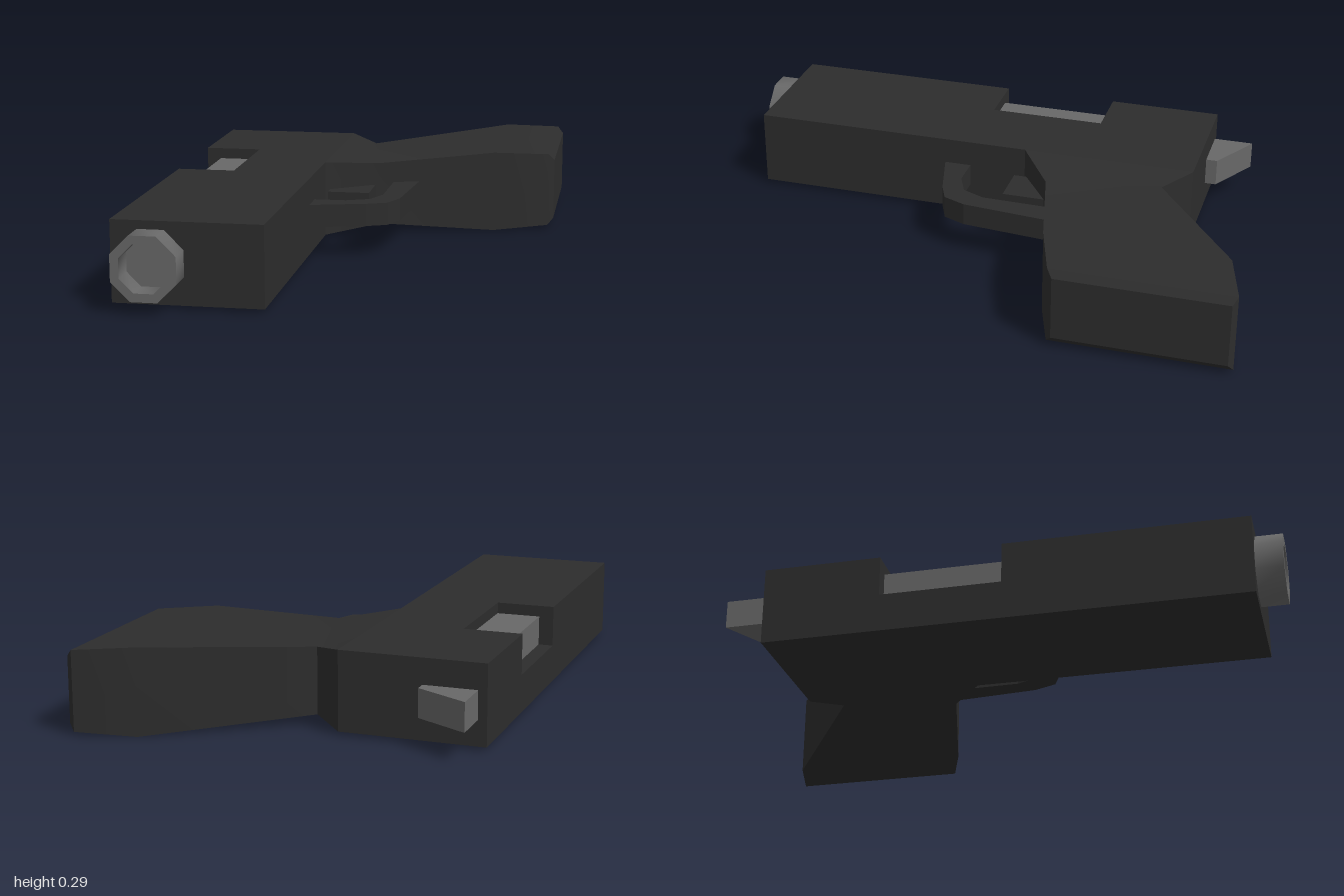
import * as THREE from 'three';
import { toCreasedNormals } from 'three/addons/utils/BufferGeometryUtils.js';

const MID = 0.149; // height of the centre plane

export function createModel() {
  const model = new THREE.Group();
  const black = new THREE.MeshStandardMaterial({ color: 0x2d2d2d });
  black.name = 'black';
  const grey = new THREE.MeshStandardMaterial({ color: 0x686868 });
  grey.name = 'steel grey';

  const add = (name, geometry, material) => {
    const mesh = new THREE.Mesh(geometry, material);
    mesh.name = name;
    model.add(mesh);
    return mesh;
  };

  // Prism from a plan outline of [x, z] points, between two heights
  const slab = (name, outline, y0, y1, material) => {
    const shape = new THREE.Shape(outline.map(([x, z]) => new THREE.Vector2(x, -z)));
    const g = new THREE.ExtrudeGeometry(shape, { depth: y1 - y0, bevelEnabled: false });
    g.rotateX(-Math.PI / 2).translate(0, y0, 0);
    return add(name, g, material);
  };

  // Slide: full lower half, upper half with the ejection port cut out
  const portFloor = 0.145;
  slab('slideLower', [[-0.65, 0.91], [-0.16, 0.91], [-0.16, -0.71], [-0.65, -0.71]],
    MID - 0.134, portFloor, black);
  slab('slideUpper', [[-0.65, 0.91], [-0.16, 0.91], [-0.16, -0.71], [-0.65, -0.71],
    [-0.65, -0.31], [-0.45, -0.31], [-0.45, 0.10], [-0.65, 0.10]],
    portFloor, MID + 0.134, black);
  slab('chamber', [[-0.60, 0.10], [-0.45, 0.10], [-0.45, -0.31], [-0.60, -0.31]],
    portFloor, 0.245, grey);

  // Grip: rectangular sections [rear x, rear z, front x, front z, half thickness]
  const sections = [
    [-0.16, -0.71, -0.16, -0.10, 0.134],
    [-0.055, -0.62, 0.02, -0.225, 0.113],
    [0.43, -0.945, 0.43, -0.325, 0.146],
    [0.625, -1.0, 0.625, -0.39, 0.134],
    [0.646, -0.985, 0.646, -0.41, 0.11],
  ];
  const pos = [], index = [];
  for (const [rx, rz, fx, fz, h] of sections) {
    pos.push(rx, MID - h, rz, fx, MID - h, fz, fx, MID + h, fz, rx, MID + h, rz);
  }
  for (let i = 0; i < sections.length - 1; i++) {
    for (let j = 0; j < 4; j++) {
      const a = i * 4 + j, b = i * 4 + (j + 1) % 4;
      index.push(a, a + 4, b, b, a + 4, b + 4);
    }
  }
  const e = (sections.length - 1) * 4;
  index.push(e, e + 2, e + 1, e, e + 3, e + 2);
  const grip = new THREE.BufferGeometry();
  grip.setAttribute('position', new THREE.Float32BufferAttribute(pos, 3));
  grip.setIndex(index);
  add('grip', toCreasedNormals(grip, 0.5), black);

  // Trigger guard and trigger
  slab('triggerGuard', [[-0.17, 0.203], [0.03, 0.15], [0.10, 0.12], [0.133, 0.04], [0.162, -0.28],
    [0.07, -0.28], [0.065, -0.01], [0.03, 0.07], [-0.05, 0.105], [-0.17, 0.105]],
    MID - 0.037, MID + 0.042, black);
  slab('trigger', [[-0.145, -0.065], [0.005, -0.065], [0.005, -0.25], [-0.145, -0.25]],
    MID - 0.03, MID + 0.034, black);

  // Eight-sided muzzle with a recessed bore
  const k = 1 / Math.cos(Math.PI / 8);
  const profile = [[0.105, 0.88], [0.105, 1], [0.077, 1], [0.077, 0.80], [0, 0.80]]
    .map(([r, y]) => new THREE.Vector2(r * k, y));
  const muzzle = new THREE.LatheGeometry(profile, 8, Math.PI / 8).rotateX(Math.PI / 2);
  muzzle.translate(-0.52, MID + 0.001, 0);
  // The bore is cleared by a slide-front opening hidden inside the muzzle ring
  muzzle.deleteAttribute('uv');
  muzzle.attributes.position.array.forEach((v, i, arr) => {
    if (i % 3 === 2 && v < 0.85) arr[i] = 0.915; // keep the bore floor ahead of the slide face
  });
  add('muzzle', toCreasedNormals(muzzle, 0.9), grey);

  // Hammer
  slab('hammer', [[-0.62, -0.70], [-0.44, -0.70], [-0.44, -0.75], [-0.62, -0.85]],
    0.10, 0.196, grey);

  return model;
}
